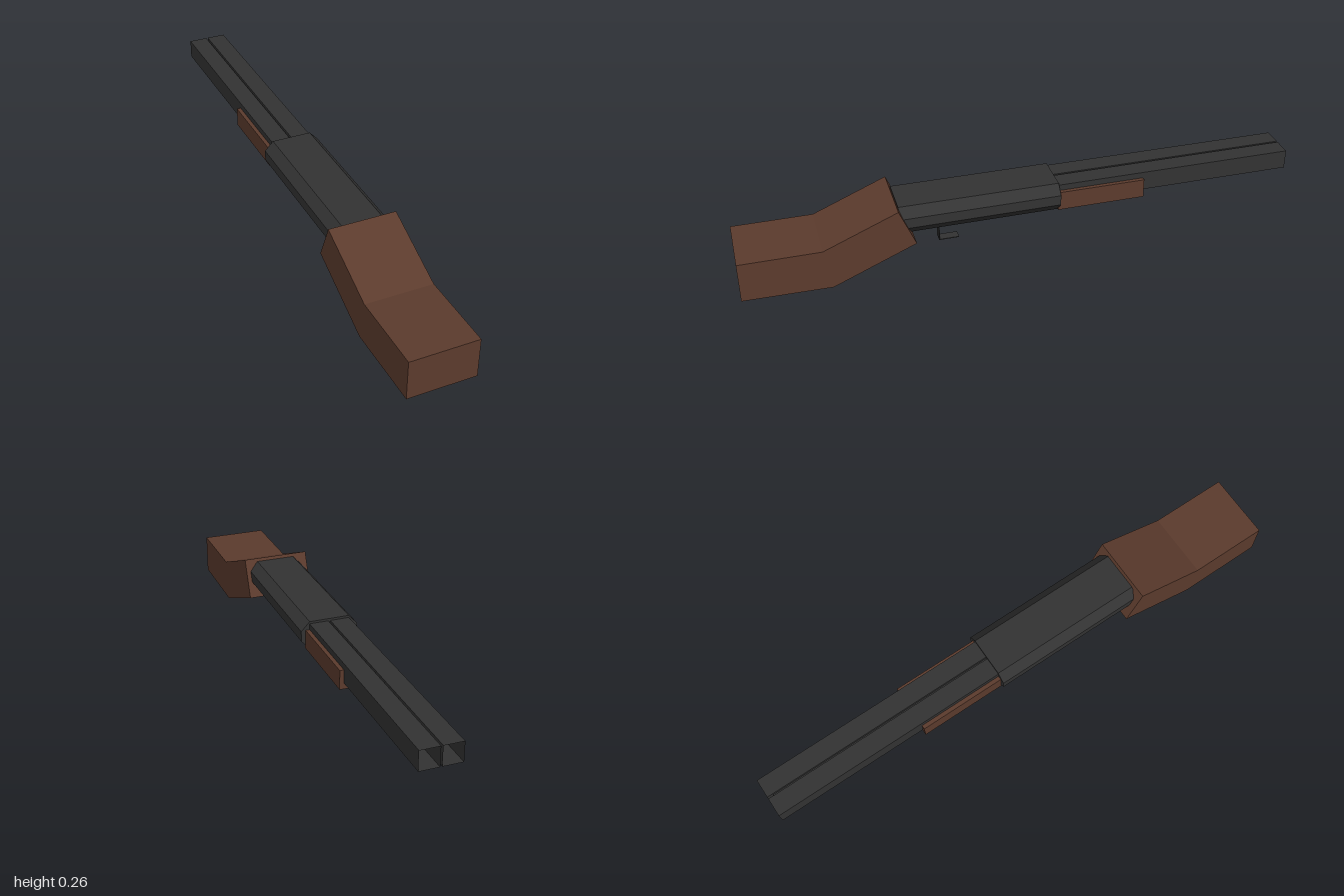
import * as THREE from 'three';

const wood = new THREE.MeshStandardMaterial({ color: 0x5c3b2d, flatShading: true });
wood.name = 'brown wood';
const metal = new THREE.MeshStandardMaterial({ color: 0x333333, flatShading: true, side: THREE.DoubleSide });
metal.name = 'dark metal';

const CX = 0.003; // the metalwork sits slightly off the stock's centre line

export function createModel() {
  const group = new THREE.Group();

  const add = (name, geometry, material, x = 0, y = 0, z = 0) => {
    const mesh = new THREE.Mesh(geometry, material);
    mesh.name = name;
    mesh.position.set(x, y, z);
    group.add(mesh);
    return mesh;
  };
  const shapeOf = (points) => new THREE.Shape(points.map(([x, y]) => new THREE.Vector2(x, y)));
  const extrude = (points, depth) =>
    new THREE.ExtrudeGeometry(shapeOf(points), { depth, bevelEnabled: false });

  // Stock: bent side profile (-z, y), extruded across the width
  const stock = extrude([
    [-1, 0.004], [-0.69, 0], [-0.395, 0.125], [-0.452, 0.26], [-0.715, 0.15], [-1, 0.15],
  ], 0.244);
  stock.translate(0, 0, -0.122).rotateY(Math.PI / 2);
  add('stock', stock, wood);

  // Receiver: block with chamfered long edges
  const receiver = extrude([
    [-0.072, 0.145], [0.072, 0.145], [0.103, 0.18], [0.103, 0.217],
    [0.072, 0.25], [-0.072, 0.25], [-0.103, 0.217], [-0.103, 0.18],
  ], 0.57);
  add('receiver', receiver, metal, CX, 0, -0.125);

  // Barrels: two open square tubes side by side
  for (const side of [-1, 1]) {
    const tube = new THREE.CylinderGeometry(Math.SQRT1_2, Math.SQRT1_2, 1.1, 4, 1, true);
    tube.rotateY(Math.PI / 4).rotateX(Math.PI / 2).scale(0.069, 0.07, 1);
    add(side > 0 ? 'leftBarrel' : 'rightBarrel', tube, metal, CX + side * 0.038, 0.207, -0.45);
  }

  // Sunken rib joining the barrels
  add('barrelRib', new THREE.BoxGeometry(0.007, 0.046, 1.08), metal, CX, 0.207, -0.44);

  // Forestock under the barrels
  add('forestock', new THREE.BoxGeometry(0.174, 0.07, 0.32), wood, CX, 0.185, -0.28);

  // Trigger: thin L-shaped strip
  add('triggerBlade', new THREE.BoxGeometry(0.034, 0.1, 0.003), metal, CX, 0.104, 0.295);
  add('triggerFoot', new THREE.BoxGeometry(0.034, 0.003, 0.072), metal, CX, 0.0555, 0.2605);

  return group;
}
